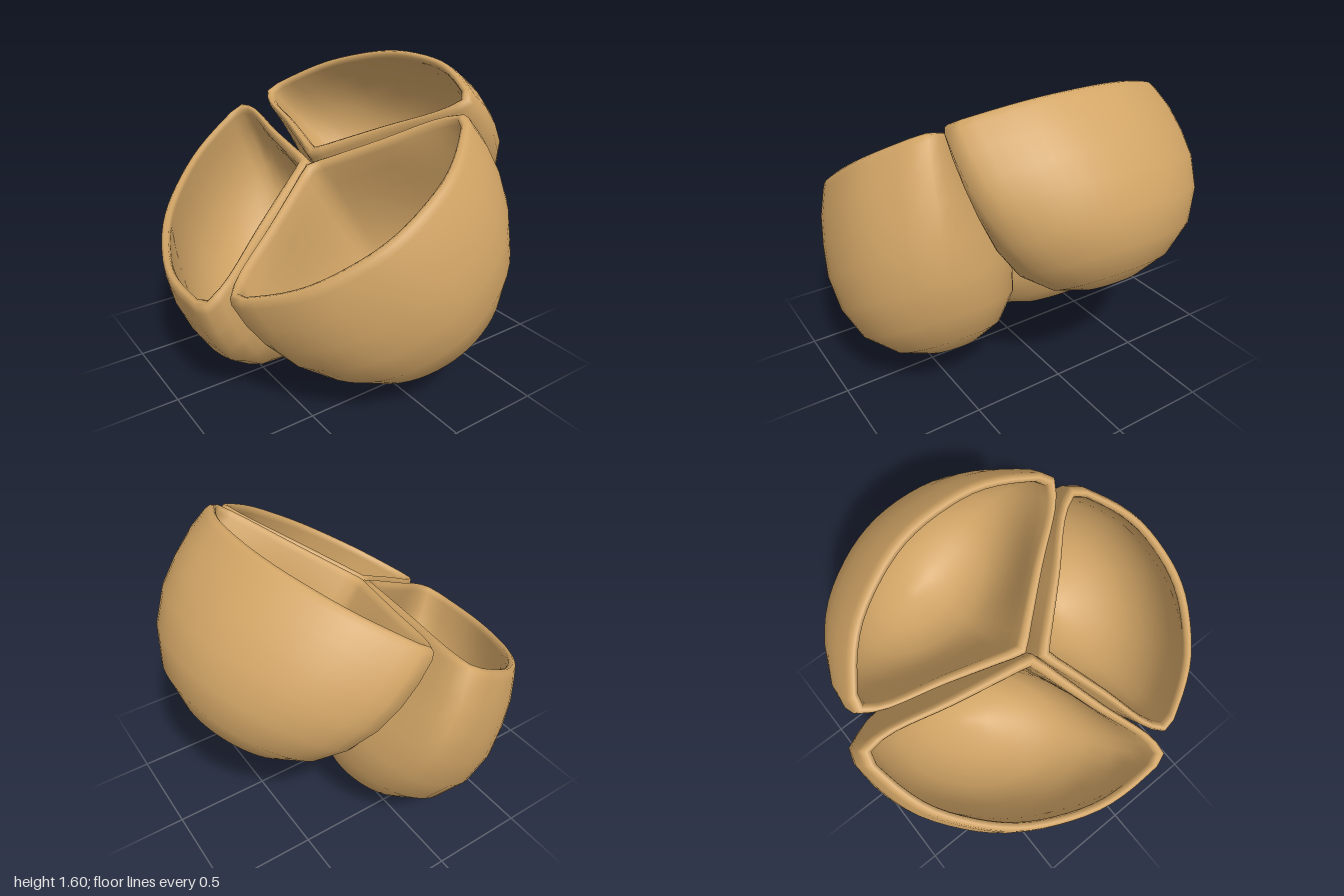
import * as THREE from 'three';
import { mergeVertices } from 'three/addons/utils/BufferGeometryUtils.js';

const SIDES = 48;

// Unit wedge outline: e runs from the central axis (0) to the outside (1), t is sideways
const half = [[0.06, 0.12], [0.26, 0.5], [0.46, 0.9], [0.56, 0.99], [0.69, 0.87], [0.87, 0.6], [0.97, 0.27]];
const loop = [[1, 0], ...[...half].reverse(), [0, 0], ...half.map(([e, t]) => [e, -t])];
const outline = new THREE.CatmullRomCurve3(loop.map(([e, t]) => new THREE.Vector3(e, t, 0)), true, 'centripetal')
  .getSpacedPoints(SIDES).slice(0, SIDES);

// Wall sections, bottom to rim: depth, inner reach, outer reach, half width, roundness
const sections = [
  [0.97, 0.49, 0.49, 0, 1],
  [0.957, 0.37, 0.61, 0.15, 1],
  [0.9, 0.24, 0.76, 0.33, 1],
  [0.78, 0.13, 0.89, 0.495, 0.9],
  [0.62, 0.07, 0.955, 0.62, 0.7],
  [0.45, 0.04, 0.97, 0.7, 0.48],
  [0.3, 0.025, 0.95, 0.735, 0.28],
  [0.16, 0.02, 0.92, 0.745, 0.12],
  [0.04, 0.015, 0.875, 0.735, 0],
];

// One hollow lobe: rings up the outside, over the rounded lip and down the inside
function lobeGeometry(depth, reach, width, slide) {
  const inset = 0.05;
  const rings = sections.map((s) => [...s]);
  rings.push([0.01, 0.025, 0.86, 0.72, 0], [0, 0.045, 0.84, 0.7, 0], [0.01, 0.07, 0.82, 0.68, 0]);
  for (const [d, a, b, w, m] of [...sections].reverse()) {
    const mid = (a + b) / 2;
    const gap = Math.min(inset, (b - a) / 2);
    rings.push([Math.max(0.04, d - inset * d), Math.min(mid, a + gap * 1.3), Math.max(mid, b - gap), Math.max(0, w - gap * 1.2), m]);
  }
  const pos = [], index = [];
  for (const [d, a, b, w, m] of rings) {
    for (const p of outline) {
      const phi = Math.atan2(p.y, (p.x - 0.5) * 2);
      const e = THREE.MathUtils.lerp(p.x, 0.5 + 0.5 * Math.cos(phi), m);
      const t = THREE.MathUtils.lerp(p.y, Math.sin(phi), m);
      pos.push((a + (b - a) * e) * reach, -d * depth, t * w * width + slide);
    }
  }
  for (let i = 0; i < rings.length - 1; i++) {
    for (let j = 0; j < SIDES; j++) {
      const k = (j + 1) % SIDES;
      const p = i * SIDES + j, q = i * SIDES + k;
      index.push(p, p + SIDES, q, q, p + SIDES, q + SIDES);
    }
  }
  const g = new THREE.BufferGeometry();
  g.setAttribute('position', new THREE.Float32BufferAttribute(pos, 3));
  g.setIndex(index);
  const merged = mergeVertices(g, 1e-4);
  merged.computeVertexNormals();
  return merged;
}

export function createModel() {
  const husk = new THREE.MeshStandardMaterial({ color: 0xd2a566 });
  husk.name = 'tan husk';

  // Three lobes around the capsule axis: name, heading in degrees, depth, reach, width, sideways slide
  const lobes = [
    ['leftLobe', -14, 0.935, 0.985, 1.02, -0.035],
    ['frontLobe', 100, 1.04, 1.045, 0.96, 0.045],
    ['backLobe', 219.5, 1.01, 1.06, 1.13, 0],
  ];
  const capsule = new THREE.Group();
  capsule.name = 'openCapsule';
  for (const [name, heading, depth, reach, width, slide] of lobes) {
    const lobe = new THREE.Mesh(lobeGeometry(depth, reach, width, slide), husk);
    lobe.name = name;
    lobe.rotation.y = -THREE.MathUtils.degToRad(heading);
    capsule.add(lobe);
  }

  // The capsule lies tipped over, its open rim facing up and to the right
  capsule.rotation.z = THREE.MathUtils.degToRad(32.5);
  capsule.position.set(-0.17, 1.12, 0);

  const model = new THREE.Group();
  model.name = 'seedCapsule';
  model.add(capsule);
  return model;
}
